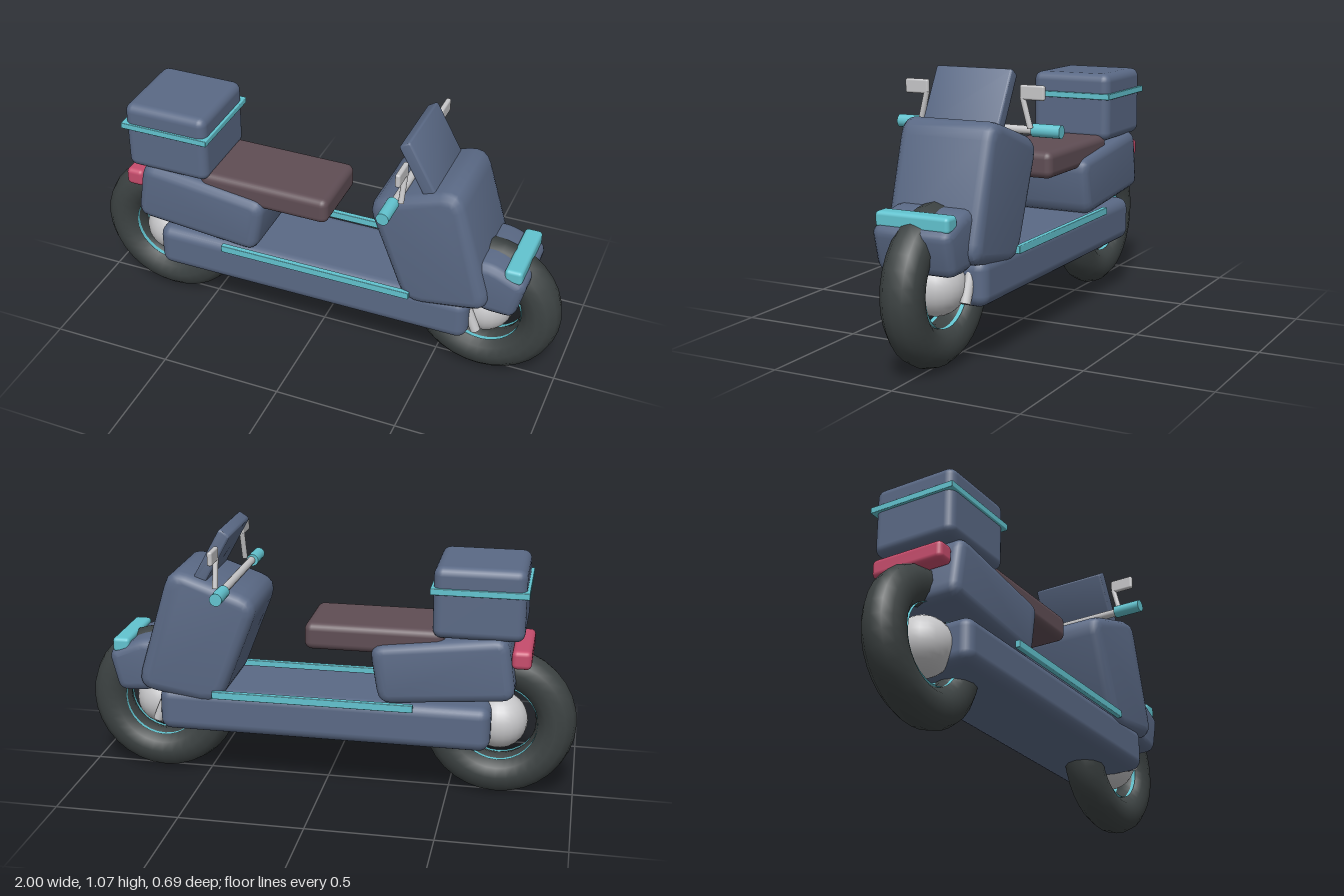
import * as THREE from 'three';
import { toCreasedNormals } from 'three/addons/utils/BufferGeometryUtils.js';
import { RoundedBoxGeometry } from 'three/addons/geometries/RoundedBoxGeometry.js';

const paint = (name, color, extra = {}) => {
  const m = new THREE.MeshStandardMaterial({ color, ...extra });
  m.name = name;
  return m;
};

export function createModel() {
  const model = new THREE.Group();
  model.name = 'scooter';
  const blue = paint('slateBlue', 0x5a6985);
  const teal = paint('teal', 0x62c3cf);
  const tealRim = teal;
  teal.side = THREE.DoubleSide;
  const red = paint('tailRed', 0xc64c6c);
  const brown = paint('seatBrown', 0x5f4d54);
  const rubber = paint('rubber', 0x3c4242);
  const metal = paint('metal', 0xc6c6c8);

  const add = (name, geometry, material, x = 0, y = 0, z = 0, parent = model) => {
    const mesh = new THREE.Mesh(geometry, material);
    mesh.name = name;
    mesh.position.set(x, y, z);
    parent.add(mesh);
    return mesh;
  };

  // Rounded block given by its extents in x and y and its full width in z
  const block = (name, x0, x1, y0, y1, width, radius, material, z = 0) =>
    add(name, new RoundedBoxGeometry(x1 - x0, y1 - y0, width, 3, radius), material,
      (x0 + x1) / 2, (y0 + y1) / 2, z);

  // Side profile with rounded corners, extruded across the width with soft edges
  const panel = (name, corners, width, round, bevel, material) => {
    const pts = corners.map(([x, y]) => new THREE.Vector2(x, y));
    const shape = new THREE.Shape();
    pts.forEach((p, i) => {
      const prev = pts[(i + pts.length - 1) % pts.length];
      const next = pts[(i + 1) % pts.length];
      const a = p.clone().add(prev.clone().sub(p).setLength(round));
      const b = p.clone().add(next.clone().sub(p).setLength(round));
      if (i) shape.lineTo(a.x, a.y);
      else shape.moveTo(a.x, a.y);
      shape.quadraticCurveTo(p.x, p.y, b.x, b.y);
    });
    shape.closePath();
    const geo = new THREE.ExtrudeGeometry(shape, {
      depth: width - 2 * bevel, bevelThickness: bevel, bevelSize: bevel,
      bevelOffset: -bevel, bevelSegments: 3, curveSegments: 4,
    });
    geo.translate(0, 0, bevel - width / 2);
    return add(name, toCreasedNormals(geo, 0.7), material);
  };

  // Round bar between two points
  const rod = (name, from, to, radius, material) => {
    const a = new THREE.Vector3(...from), b = new THREE.Vector3(...to);
    const mid = a.clone().add(b).multiplyScalar(0.5);
    const mesh = add(name, new THREE.CylinderGeometry(radius, radius, a.distanceTo(b), 14),
      material, mid.x, mid.y, mid.z);
    mesh.quaternion.setFromUnitVectors(new THREE.Vector3(0, 1, 0), b.sub(a).normalize());
    return mesh;
  };

  // Wheels: tyre, rim band and round hub
  for (const [name, x] of [['rearWheel', -0.693], ['frontWheel', 0.693]]) {
    const wheel = new THREE.Group();
    wheel.name = name;
    wheel.position.set(x, 0.308, 0);
    add('tyre', new THREE.TorusGeometry(0.227, 0.08, 12, 32), rubber, 0, 0, 0, wheel);
    const rim = new THREE.CylinderGeometry(0.156, 0.156, 0.1, 32, 1, true);
    add('rim', rim.rotateX(Math.PI / 2), tealRim, 0, 0, 0, wheel);
    add('hub', new THREE.SphereGeometry(0.115, 24, 16), metal, 0, 0, 0, wheel);
    model.add(wheel);
  }

  // Body
  block('floorBody', -0.67, 0.665, 0.227, 0.41, 0.37, 0.045, blue);
  panel('rearBody', [[-0.765, 0.448], [-0.23, 0.402], [-0.19, 0.637], [-0.725, 0.705]],
    0.37, 0.055, 0.035, blue);
  panel('legShield', [[0.41, 0.35], [0.758, 0.405], [0.605, 0.915], [0.24, 0.79]],
    0.39, 0.08, 0.04, blue);
  panel('frontFender', [[0.6, 0.43], [0.72, 0.378], [0.84, 0.375], [0.882, 0.54], [0.74, 0.6], [0.6, 0.6]],
    0.32, 0.035, 0.035, blue);
  panel('windscreen', [[0.475, 0.83], [0.525, 0.845], [0.4, 1.073], [0.357, 1.045]],
    0.32, 0.012, 0.008, blue);

  // Seat, luggage box and lamps
  block('seat', -0.48, 0.07, 0.602, 0.711, 0.31, 0.03, brown);
  block('luggageBox', -0.787, -0.434, 0.685, 0.97, 0.354, 0.035, blue);
  block('luggageTrim', -0.799, -0.424, 0.864, 0.889, 0.372, 0.003, teal);
  block('tailLight', -0.817, -0.74, 0.573, 0.648, 0.31, 0.02, red);
  block('headLight', 0.79, 0.86, 0.538, 0.598, 0.3, 0.015, teal);

  // Handlebar
  rod('handlebar', [0.372, 0.845, -0.25], [0.372, 0.845, 0.25], 0.016, metal);

  // Paired parts on both sides
  for (const s of [1, -1]) {
    const side = s > 0 ? 'Front' : 'Back';
    block('floorTrim' + side, -0.37, 0.435, 0.388, 0.418, 0.022, 0.003, teal, s * 0.197);
    rod('grip' + side, [0.368, 0.845, s * 0.23], [0.368, 0.845, s * 0.345], 0.025, teal);
    rod('mirrorStem' + side, [0.4, 0.855, s * 0.233], [0.403, 0.97, s * 0.203], 0.011, metal);
    block('mirror' + side, 0.393, 0.413, 0.96, 1.015, 0.1, 0.008, metal, s * 0.244);
    rod('fork' + side, [0.62, 0.42, s * 0.119], [0.69, 0.25, s * 0.119], 0.02, metal);
  }

  return model;
}
